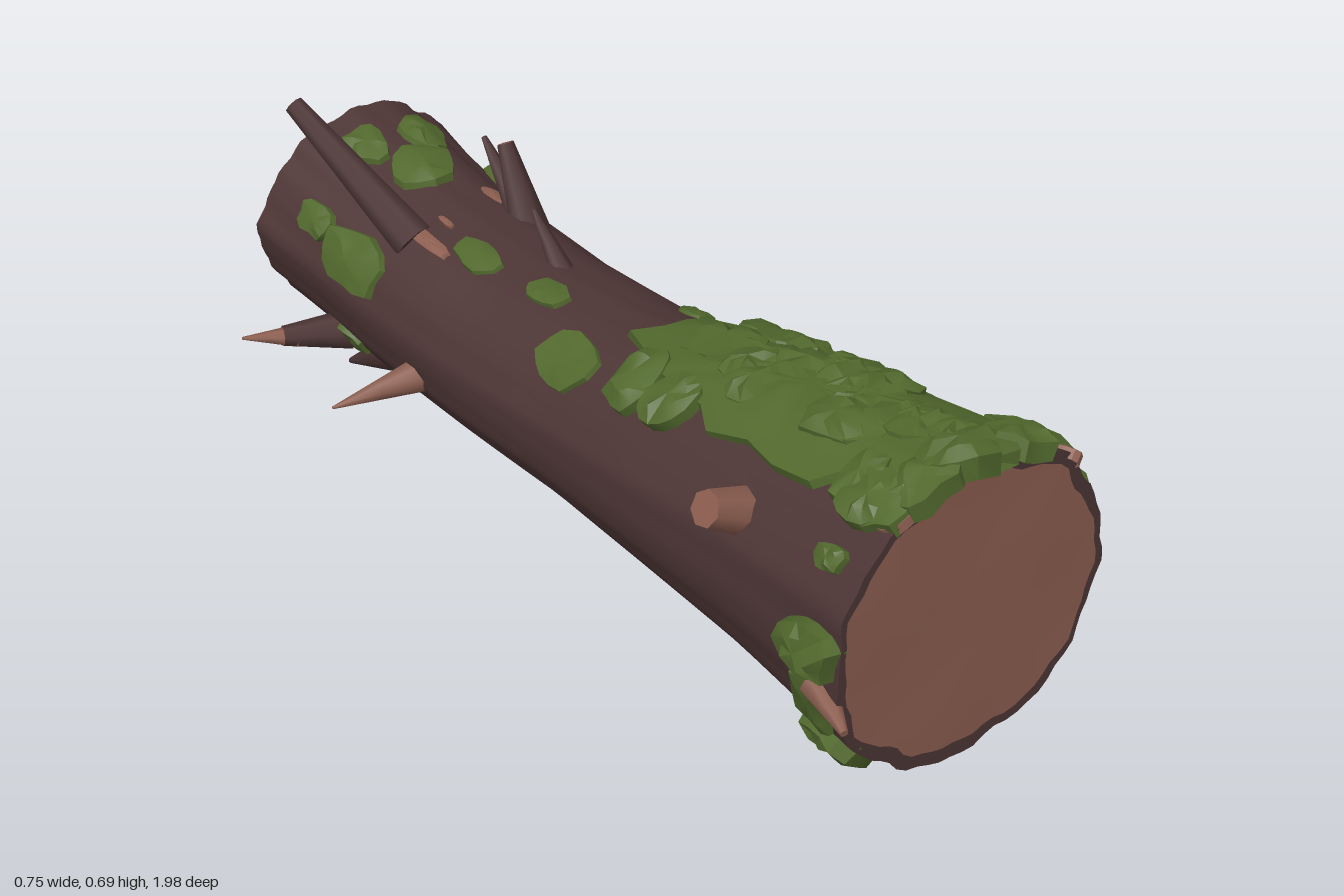
import * as THREE from 'three';
import { toCreasedNormals } from 'three/addons/utils/BufferGeometryUtils.js';

const bark = new THREE.MeshStandardMaterial({ color: 0x4d3535, side: THREE.DoubleSide });
bark.name = 'bark';
const wood = new THREE.MeshStandardMaterial({ color: 0x8c5e50, side: THREE.DoubleSide });
wood.name = 'bare wood';
const moss = new THREE.MeshStandardMaterial({ color: 0x51682d, side: THREE.DoubleSide });
moss.name = 'moss';

// Trunk sections: z, left, right, bottom, top
const SECTIONS = [
  [-0.97, -0.23, 0.27, 0.12, 0.575], [-0.8, -0.22, 0.25, 0.105, 0.545],
  [-0.6, -0.22, 0.24, 0.09, 0.51], [-0.3, -0.22, 0.24, 0.09, 0.49],
  [0, -0.22, 0.25, 0.09, 0.5], [0.3, -0.24, 0.27, 0.08, 0.545],
  [0.6, -0.25, 0.31, 0.05, 0.59], [0.8, -0.265, 0.335, 0.025, 0.615],
  [0.95, -0.28, 0.36, 0.01, 0.64],
];

function section(z) {
  const zc = THREE.MathUtils.clamp(z, -0.97, 0.95);
  let i = 0;
  while (i < SECTIONS.length - 2 && SECTIONS[i + 1][0] < zc) i++;
  const a = SECTIONS[i], b = SECTIONS[i + 1], t = (zc - a[0]) / (b[0] - a[0]);
  const [l, r, lo, hi] = [1, 2, 3, 4].map((k) => a[k] + (b[k] - a[k]) * t);
  return { cx: (l + r) / 2, cy: (lo + hi) / 2, rx: (r - l) / 2, ry: (hi - lo) / 2 };
}

// Point on the furrowed bark at angle a, raised by off and scaled by k
function surface(a, z, off = 0, k = 1) {
  const s = section(z), end = 1 + 0.9 * Math.pow(Math.abs(z), 4);
  const ridges = 0.009 * Math.sin(7 * a + 1.5 * z) + 0.007 * Math.sin(13 * a + 1 + 2 * Math.sin(2 * z))
    + 0.006 * Math.sin(22 * a + 3 * z) + 0.006 * Math.sin(4 * a + 5 * z);
  const f = k * (1 + ridges * end);
  return new THREE.Vector3(s.cx + (s.rx * f + off) * Math.cos(a), s.cy + (s.ry * f + off) * Math.sin(a), z);
}

function seeded(seed) {
  let s = seed;
  return () => (s = (s * 16807) % 2147483647) / 2147483647;
}

function build(points, index) {
  const g = new THREE.BufferGeometry().setFromPoints(points);
  g.setIndex(index);
  g.computeVertexNormals();
  return g;
}

// Grid of rows joined into a closed tube
function loft(rows, cols, at) {
  const pts = [], idx = [];
  for (let j = 0; j <= rows; j++) for (let i = 0; i < cols; i++) {
    pts.push(at(i / cols * Math.PI * 2, j));
    if (j < rows) {
      const p = j * cols + i, q = j * cols + (i + 1) % cols;
      idx.push(p, q, q + cols, p, q + cols, p + cols);
    }
  }
  return build(pts, idx);
}

// Irregular domed patch that follows the bark
function patchGeometry(x, y, z, width, length, thick, seed) {
  const rnd = seeded(seed * 7919 + 13), s = section(z);
  const a0 = Math.atan2((y - s.cy) / s.ry, (x - s.cx) / s.rx);
  const segs = length > 0.2 ? 28 : 13;
  const radii = length > 0.2 ? [0.25, 0.5, 0.75, 0.95, 1] : [0.5, 0.9, 1];
  const edge = Array.from({ length: segs }, () => 0.84 + 0.28 * rnd());
  const pts = [surface(a0, z, thick)], idx = [];
  radii.forEach((r, j) => {
    for (let i = 0; i < segs; i++) {
      const t = i / segs * Math.PI * 2, c = Math.cos(t), n = Math.sin(t);
      const a = a0 + Math.sign(c) * Math.pow(Math.abs(c), 0.8) * r * edge[i] * width / ((s.rx + s.ry) / 2);
      const pz = Math.min(0.975, z + n * r * edge[i] * length);
      const lift = r === 1 ? -0.012 : thick * (1 - 0.45 * r * r) * (0.75 + 0.5 * rnd());
      pts.push(surface(a, pz, lift));
      const m = (i + 1) % segs, o = 1 + j * segs, q = o - segs;
      if (j === 0) idx.push(0, o + i, o + m);
      else idx.push(q + i, o + i, o + m, q + i, o + m, q + m);
    }
  });
  return toCreasedNormals(build(pts, idx), 0.5);
}

export function createModel() {
  const log = new THREE.Group();
  log.name = 'mossyLog';
  const add = (name, geometry, material) => {
    const mesh = new THREE.Mesh(geometry, material);
    mesh.name = name;
    log.add(mesh);
    return mesh;
  };

  // Trunk, with a back end that leans slightly
  const N = 72, R = 32;
  const backZ = (a) => -0.97 - 0.018 * Math.sin(a - Math.PI);
  add('trunk', loft(R, N, (a, j) => surface(a, THREE.MathUtils.lerp(backZ(a), 0.95, j / R))), bark);
  add('backEnd', loft(3, N, (a, j) => {
    const k = Math.max(0.001, j / 3), p = surface(a, backZ(a), 0, k);
    p.z = -0.97 + (backZ(a) + 0.97) * k + 0.015 * (1 - k) + (j === 2 ? 0.006 * Math.sin(5 * a) : 0);
    return p;
  }), bark);

  // Sawn front face inside a bark rim
  const rim = (a) => 0.93 + 0.025 * Math.sin(a * 2 + 2.2) + 0.01 * Math.sin(9 * a);
  add('frontRim', loft(1, N, (a, j) => surface(a, 0.95, 0, j ? rim(a) : 1)), bark);
  add('cutFace', loft(3, N, (a, j) => {
    const p = surface(a, 0.95, 0, Math.max(0.001, rim(a) * (1 - j / 3)));
    p.z += j === 1 ? 0.002 * Math.sin(3 * a) : 0;
    return p;
  }), wood);

  // Thick moss blanket on top, with clumps spread over it
  add('topMoss', patchGeometry(0.02, 0.6, 0.535, 0.185, 0.44, 0.027, 3), moss);
  const rnd = seeded(4242);
  for (let i = 0; i < 26; i++) {
    const z = 0.2 + 0.72 * (i / 25), s = section(z), x = 0.02 + (rnd() - 0.5) * 0.3;
    add('mossClump', patchGeometry(x, s.cy + Math.sqrt(1 - ((x - s.cx) / s.rx) ** 2) * s.ry, z,
      0.05 + 0.03 * rnd(), 0.05 + 0.04 * rnd(), 0.03 + 0.012 * rnd(), i + 20), moss);
  }

  // Scattered moss patches: x, y, z, half width, half length, thickness
  [
    [0.02, 0.64, 0.91, 0.08, 0.07, 0.052], [0.16, 0.61, 0.91, 0.06, 0.07, 0.04],
    [0.25, 0.56, 0.85, 0.07, 0.09, 0.03], [0.32, 0.45, 0.85, 0.065, 0.08, 0.035],
    [-0.27, 0.34, 0.87, 0.06, 0.08, 0.045], [-0.2, 0.1, 0.87, 0.08, 0.08, 0.04],
    [-0.23, 0.22, 0.86, 0.07, 0.06, 0.02], [-0.22, 0.5, 0.86, 0.03, 0.04, 0.02],
    [0.23, 0.42, 0.04, 0.025, 0.05, 0.013], [0.15, 0.49, 0.05, 0.035, 0.04, 0.012],
    [0.25, 0.36, 0.08, 0.018, 0.02, 0.01], [-0.15, 0.46, 0, 0.065, 0.09, 0.014],
    [-0.05, 0.49, -0.18, 0.035, 0.06, 0.014], [-0.07, 0.49, -0.39, 0.038, 0.07, 0.014],
    [-0.04, 0.55, -0.83, 0.045, 0.06, 0.022], [0.09, 0.55, -0.81, 0.045, 0.07, 0.022],
    [0.02, 0.53, -0.71, 0.075, 0.07, 0.022], [0.21, 0.41, -0.66, 0.065, 0.1, 0.025],
    [0.21, 0.38, -0.74, 0.05, 0.05, 0.02], [0.2, 0.17, -0.67, 0.03, 0.035, 0.018],
    [0.12, 0.1, -0.71, 0.05, 0.06, 0.018], [-0.2, 0.4, -0.66, 0.07, 0.11, 0.022],
    [-0.2, 0.44, -0.8, 0.04, 0.06, 0.02], [-0.18, 0.17, -0.72, 0.04, 0.05, 0.015],
  ].forEach((p, i) => add('mossPatch', patchGeometry(...p, i + 60), moss));

  // Bare wood where the bark has torn away
  [
    [-0.12, 0.5, -0.53, 0.018, 0.11, 0.009], [0.1, 0.5, -0.56, 0.02, 0.045, 0.009],
    [-0.05, 0.5, -0.53, 0.008, 0.03, 0.008], [-0.13, 0.58, 0.91, 0.045, 0.05, 0.012],
    [0.25, 0.54, 0.92, 0.025, 0.05, 0.012],
  ].forEach((p, i) => add('tornWood', patchGeometry(...p, i + 100), wood));

  // Branch stubs and splinters: base, tip, base radius, tip radius, side material
  const limb = (name, from, to, r0, r1, side) => {
    const a = new THREE.Vector3(...from), b = new THREE.Vector3(...to), d = b.clone().sub(a);
    const mesh = add(name, new THREE.CylinderGeometry(r1, r0, d.length(), 7, 2), [side, wood, side]);
    mesh.position.copy(a).add(b).multiplyScalar(0.5);
    mesh.quaternion.setFromUnitVectors(new THREE.Vector3(0, 1, 0), d.normalize());
  };
  limb('tallBranch', [-0.11, 0.46, -0.56], [-0.195, 0.68, -0.86], 0.045, 0.021, bark);
  limb('forkBranch', [0.11, 0.44, -0.45], [0.11, 0.625, -0.54], 0.045, 0.018, bark);
  limb('forkTwig', [0.11, 0.46, -0.47], [0.12, 0.6, -0.63], 0.035, 0.006, bark);
  limb('smallTwig', [0.04, 0.46, -0.24], [0.05, 0.565, -0.36], 0.028, 0.006, bark);
  limb('sideSpike', [-0.18, 0.235, -0.43], [-0.385, 0.21, -0.465], 0.04, 0.003, wood);
  limb('sideBranch', [-0.16, 0.18, -0.75], [-0.3, 0.195, -0.79], 0.045, 0.022, bark);
  limb('sideBranchTip', [-0.27, 0.19, -0.78], [-0.38, 0.205, -0.82], 0.025, 0.003, wood);
  limb('lowerSpike', [-0.08, 0.13, -0.68], [-0.09, 0.025, -0.86], 0.045, 0.006, bark);
  limb('sawnStub', [-0.18, 0.44, 0.6], [-0.285, 0.49, 0.6], 0.05, 0.036, wood);
  limb('frontSplinter', [-0.255, 0.26, 0.88], [-0.29, 0.235, 0.99], 0.035, 0.008, wood);
  return log;
}
